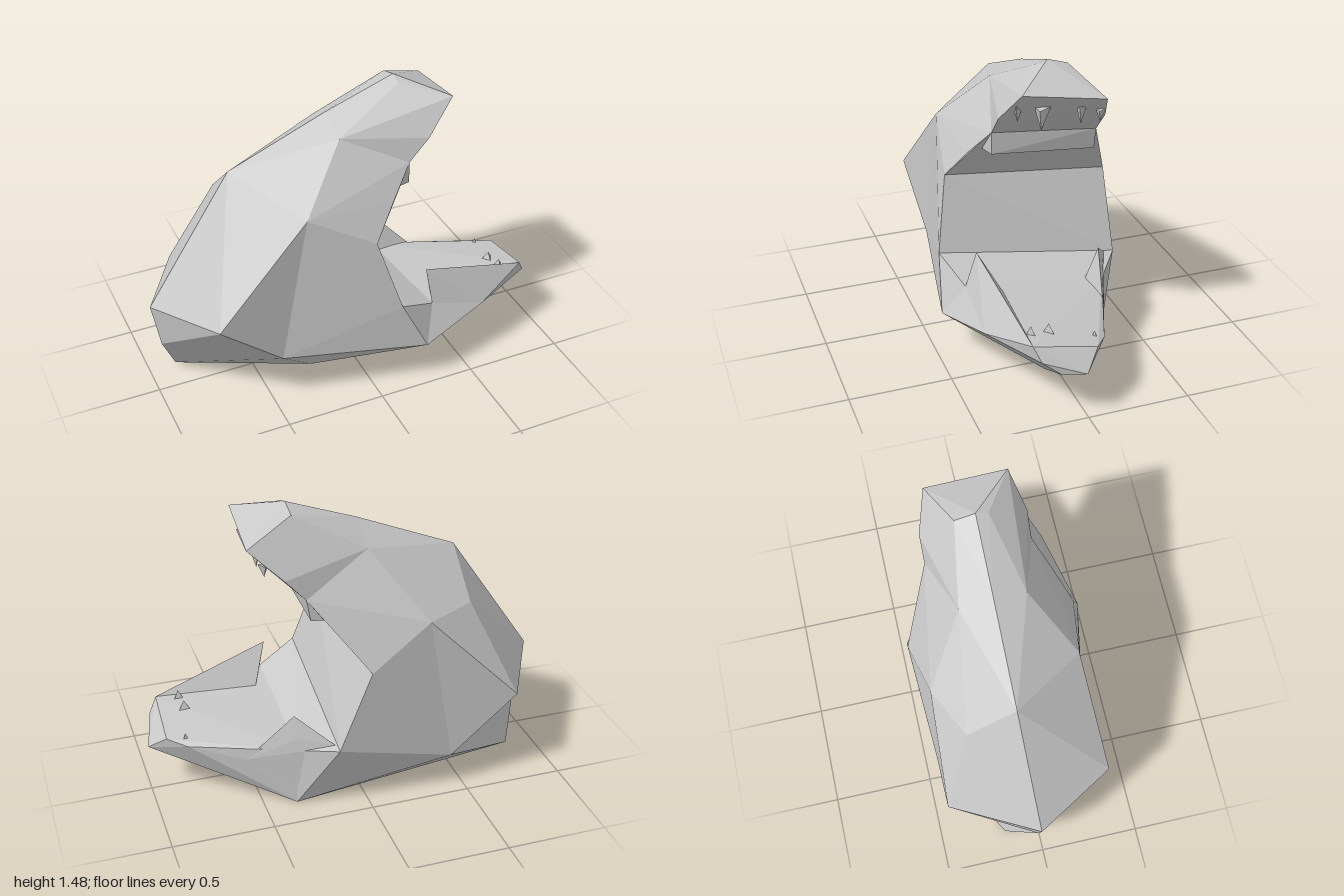
import * as THREE from 'three';
import { ConvexGeometry } from 'three/addons/geometries/ConvexGeometry.js';

// Low-poly open-jawed rock: faceted convex blocks that share corner points.
export function createModel() {
  const model = new THREE.Group();
  model.name = 'openJawRock';
  const stone = new THREE.MeshStandardMaterial({ color: 0xc8c8c8, flatShading: true });
  stone.name = 'grey stone';

  const block = (name, points) => {
    const mesh = new THREE.Mesh(new ConvexGeometry(points.map(p => new THREE.Vector3(...p))), stone);
    mesh.name = name;
    model.add(mesh);
  };

  // Corners shared by neighbouring blocks
  const crown = [[-0.06, 1.355, -0.05], [-0.06, 1.29, 0.11], [-0.06, 1.26, -0.21]];
  const cheeks = [[-0.31, 1.02, 0.31], [-0.31, 0.93, -0.41]];
  const mouthCorners = [[0.02, 0.84, 0.37], [0, 0.74, -0.47]];
  const throat = [[0.13, 0.48, 0.44], [0.16, 0.34, -0.47]];
  const waist = [[-0.46, 0.28, 0.34], [-0.43, 0.18, -0.44]];
  const belly = [-0.3, 0.16, 0.3];
  const heel = [-0.86, 0, -0.17];
  const tail = [-0.96, 0.27, -0.02];
  const hip = [-0.78, 0.56, 0.37];
  const lipRoot = [[0.26, 1.14, 0.21], [0.27, 1.09, -0.31]];
  const jawHinge = [
    [0.26, 0.22, 0.47], [0.34, 0, -0.34], [0.4, 0.03, 0.08],
    [0.33, 0.39, 0.37], [0.33, 0.3, -0.34],
  ];

  // Back of the head
  block('back', [
    ...crown, ...cheeks, ...waist, hip, tail,
    [-1, 0.51, -0.02], [-0.77, 0.47, -0.44],
    [-0.56, 1.15, -0.05], [-0.56, 0.94, -0.29],
  ]);
  block('heel', [hip, tail, heel, belly, ...waist]);

  // Sides and throat
  block('throat', [...cheeks, ...mouthCorners, ...throat, ...waist, belly, [-0.31, 1.15, -0.05]]);

  // Upper jaw: tapering cheeks, then a blunt muzzle with a lip below
  block('upperCheeks', [
    ...crown, ...cheeks, ...mouthCorners, ...lipRoot,
    [0.14, 1, 0.29], [0.15, 0.94, -0.36], [0.29, 1.4, -0.1],
  ]);
  block('muzzle', [
    ...crown, ...lipRoot,
    [0.29, 1.48, -0.05], [0.29, 1.46, 0.01], [0.29, 1.45, -0.15],
    [0.51, 1.41, 0.15], [0.53, 1.35, -0.25],
    [0.36, 1.25, 0.21], [0.37, 1.2, -0.31],
  ]);
  block('upperLip', [
    ...lipRoot, [0.05, 1.15, 0.1], [0.05, 1.1, -0.2],
    [0.26, 1.03, 0.21], [0.18, 1.03, 0.23], [0.25, 0.98, -0.31], [0.19, 0.98, -0.32],
  ]);

  // Lower jaw
  block('lowerJawRear', [...throat, ...waist, belly, heel, tail, ...jawHinge]);
  block('lowerJawFront', [
    ...jawHinge,
    [0.62, 0.3, 0.37], [0.72, 0.11, 0.11], [0.62, 0.14, -0.21],
    [0.57, 0.24, -0.25], [0.83, 0.3, -0.14], [0.92, 0.32, -0.07],
    [0.91, 0.38, 0.24], [0.95, 0.31, 0.21], [0.97, 0.24, 0.12], [1, 0.24, 0.01],
  ]);

  // Raised rim of the lower jaw, and the spikes at its rear corners
  block('jawRim', [
    [0.32, 0.56, 0.31], [0.33, 0.39, 0.37], [0.62, 0.3, 0.37],
    [0.91, 0.38, 0.24], [0.95, 0.31, 0.21], [0.4, 0.36, 0.2],
  ]);
  block('rearSpike', [
    [0.34, 0.48, -0.31], [0.33, 0.37, -0.34], [0.16, 0.34, -0.42],
    [0.57, 0.24, -0.25], [0.34, 0.1, -0.34], [0.32, 0.28, -0.24],
  ]);

  // Small three-sided teeth; a negative height points down
  const tooth = (name, x, y, z, radius, height) => {
    const mesh = new THREE.Mesh(new THREE.ConeGeometry(radius, Math.abs(height), 3), stone);
    mesh.name = name;
    mesh.position.set(x, y, z);
    if (height < 0) mesh.rotation.x = Math.PI;
    model.add(mesh);
  };
  [[0.46, 1.265, 0.04, 0.045, -0.11], [0.46, 1.26, -0.15, 0.03, -0.09],
    [0.42, 1.3, 0.14, 0.035, -0.1], [0.45, 1.24, -0.25, 0.03, -0.06]]
    .forEach(t => tooth('upperTooth', ...t));
  [[0.79, 0.38, 0.12, 0.035, 0.05], [0.8, 0.39, 0.21, 0.03, 0.05],
    [0.83, 0.32, -0.09, 0.025, 0.05]].forEach(t => tooth('lowerTooth', ...t));

  return model;
}
